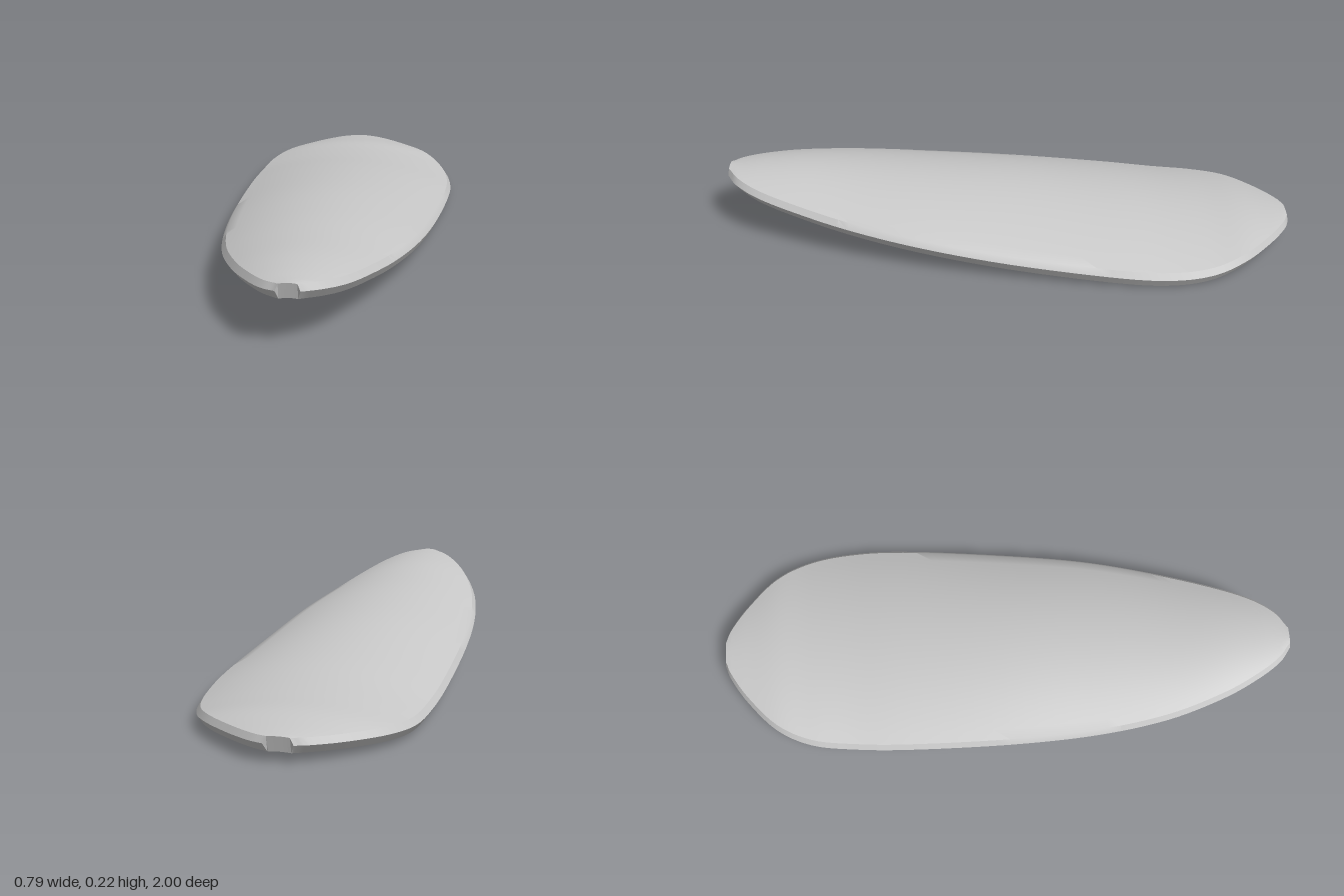
import * as THREE from 'three';
import { toCreasedNormals } from 'three/addons/utils/BufferGeometryUtils.js';

// Stations along the length: z, left edge x, right edge x, lower rim y at each edge, arch height
const STATIONS = [
  [-1.0, -0.04, 0.055, 0.035, 0.035, 0.002],
  [-0.98, -0.09, 0.105, 0.034, 0.034, 0.006],
  [-0.92, -0.18, 0.19, 0.03, 0.03, 0.018],
  [-0.82, -0.285, 0.295, 0.024, 0.022, 0.037],
  [-0.7, -0.345, 0.36, 0.016, 0.005, 0.055],
  [-0.55, -0.37, 0.387, 0.017, 0.001, 0.068],
  [-0.35, -0.387, 0.382, 0.03, 0.012, 0.077],
  [0.0, -0.397, 0.335, 0.055, 0.036, 0.085],
  [0.3, -0.388, 0.278, 0.077, 0.066, 0.076],
  [0.55, -0.356, 0.205, 0.104, 0.094, 0.06],
  [0.75, -0.298, 0.13, 0.132, 0.124, 0.043],
  [0.88, -0.238, 0.068, 0.15, 0.145, 0.025],
  [0.96, -0.185, 0.005, 0.16, 0.16, 0.01],
  [1.0, -0.135, -0.06, 0.166, 0.166, 0.003],
];
const THICKNESS = 0.052;
const ACROSS = 20;
const ALONG = 78;

// Smooth curve through chosen station columns
const through = (pick) => new THREE.CatmullRomCurve3(
  STATIONS.map((s) => new THREE.Vector3(...pick(s))), false, 'catmullrom', 0.5);

// One closed cross-section: top from left to right, right rim, underside back, left rim
function crossSection(left, right, arch) {
  const ring = [];
  const width = right.x - left.x;
  const inset = (d) => Math.min(d, width * 0.12);
  const surface = (insetL, insetR, lift, zScale, reversed) => {
    const x0 = left.x + inset(insetL), x1 = right.x - inset(insetR);
    for (let i = 0; i <= ACROSS; i++) {
      const s = reversed ? 1 - i / ACROSS : i / ACROSS;
      const y = THREE.MathUtils.lerp(left.y, right.y, s) + lift + arch * (1 - (2 * s - 1) ** 2);
      ring.push(new THREE.Vector3(THREE.MathUtils.lerp(x0, x1, s), y, left.z * zScale));
    }
  };
  surface(0.014, 0.014, THICKNESS, 0.997, false);
  ring.push(new THREE.Vector3(right.x, right.y + 0.03, right.z));
  surface(0.02, 0.016, 0, 0.984, true);
  ring.push(new THREE.Vector3(left.x, left.y + 0.03, left.z));
  return ring;
}

function shellGeometry() {
  const leftEdge = through((s) => [s[1], s[3], s[0]]);
  const rightEdge = through((s) => [s[2], s[4], s[0]]);
  const archCurve = through((s) => [s[5], 0, s[0]]);
  const positions = [], indices = [];
  let count = 0;
  for (let k = 0; k <= ALONG; k++) {
    const t = k / ALONG;
    const ring = crossSection(leftEdge.getPoint(t), rightEdge.getPoint(t), archCurve.getPoint(t).x);
    count = ring.length;
    ring.forEach((p) => positions.push(p.x, p.y, p.z));
  }
  // Skin between neighbouring sections
  for (let k = 0; k < ALONG; k++) {
    for (let i = 0; i < count; i++) {
      const a = k * count + i, b = k * count + (i + 1) % count;
      indices.push(a, a + count, b, b, a + count, b + count);
    }
  }
  // Blunt end faces, stitched from top to underside around the rim points
  const last = ALONG * count;
  const top = (i) => i, under = (i) => 2 * ACROSS + 2 - i;
  const endTriangle = (a, b, c) => {
    indices.push(a, b, c);
    indices.push(last + a, last + c, last + b);
  };
  for (let i = 0; i < ACROSS; i++) {
    endTriangle(top(i), top(i + 1), under(i));
    endTriangle(top(i + 1), under(i + 1), under(i));
  }
  endTriangle(top(ACROSS), ACROSS + 1, under(ACROSS));
  endTriangle(top(0), under(0), count - 1);

  const geometry = new THREE.BufferGeometry();
  geometry.setAttribute('position', new THREE.Float32BufferAttribute(positions, 3));
  geometry.setIndex(indices);
  return toCreasedNormals(geometry, 0.6);
}

export function createModel() {
  const group = new THREE.Group();
  group.name = 'curvedPlate';
  const paleGrey = new THREE.MeshStandardMaterial({ color: 0xc8c8c8 });
  paleGrey.name = 'pale grey';

  // Arched, tapering plate
  const shell = new THREE.Mesh(shellGeometry(), paleGrey);
  shell.name = 'archedShell';
  group.add(shell);
  return group;
}
